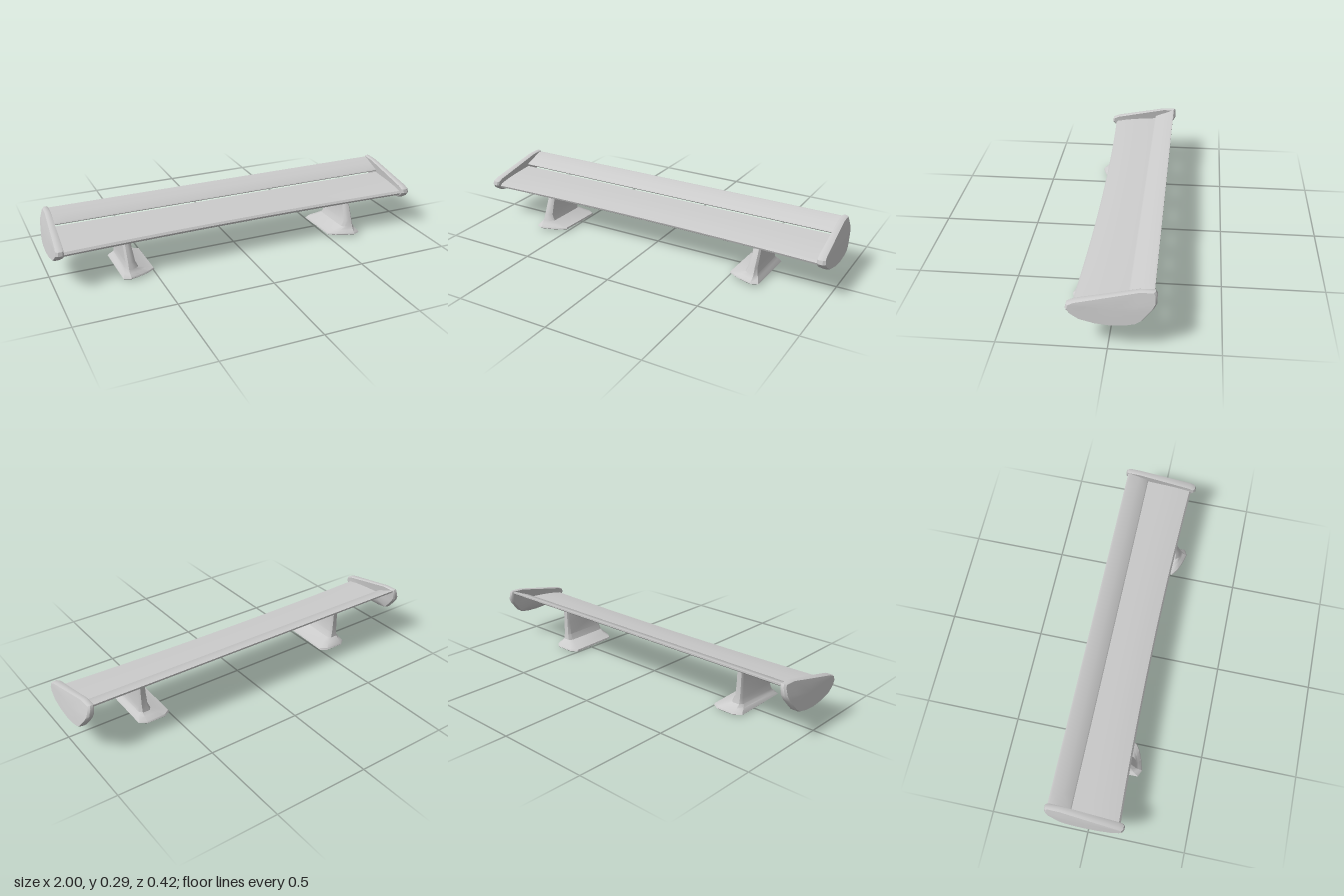
import * as THREE from 'three';
import { toCreasedNormals } from 'three/addons/utils/BufferGeometryUtils.js';

const material = new THREE.MeshStandardMaterial({ color: 0xcccccc });

// Skin a closed solid through equal-length rings of [x, y, z] points, capped at both ends
function loft(name, rings, crease = 0.6) {
  const n = rings[0].length;
  const pts = rings.flat();
  const idx = [];
  for (let r = 0; r < rings.length - 1; r++) {
    for (let i = 0; i < n; i++) {
      const j = (i + 1) % n;
      const a = r * n + i, b = r * n + j, c = a + n, d = b + n;
      idx.push(a, b, d, a, d, c);
    }
  }
  for (const r of [0, rings.length - 1]) {
    const mid = [0, 1, 2].map(k => rings[r].reduce((sum, p) => sum + p[k], 0) / n);
    const m = pts.push(mid) - 1;
    for (let i = 0; i < n; i++) {
      const a = r * n + i, b = r * n + (i + 1) % n;
      if (r === 0) idx.push(m, b, a);
      else idx.push(m, a, b);
    }
  }
  // Turn the faces outward whichever way the rings run
  const v = pts.map(p => new THREE.Vector3(...p));
  let volume = 0;
  for (let i = 0; i < idx.length; i += 3) {
    volume += v[idx[i]].dot(v[idx[i + 1]].clone().cross(v[idx[i + 2]]));
  }
  if (volume < 0) idx.reverse();

  const geo = new THREE.BufferGeometry();
  geo.setAttribute('position', new THREE.Float32BufferAttribute(pts.flat(), 3));
  geo.setIndex(idx);
  const mesh = new THREE.Mesh(toCreasedNormals(geo, crease), material);
  mesh.name = name;
  return mesh;
}

// Piecewise linear lookup in [key, value] pairs with rising keys
function lookup(table, t) {
  if (t <= table[0][0]) return table[0][1];
  for (let i = 1; i < table.length; i++) {
    const [a, va] = table[i - 1], [b, vb] = table[i];
    if (t <= b) return va + (vb - va) * (t - a) / (b - a);
  }
  return table[table.length - 1][1];
}

// Blade: a [z, y] section swept across the span, its front edge bowed back at the middle
function blade(name, section, half, bow) {
  const rings = [];
  for (let i = 0; i <= 24; i++) {
    const x = half * (i / 12 - 1);
    const back = bow * (1 - (x / half) ** 2);
    rings.push(section.map(([z, y]) => [x, y, z - back * Math.max(0, z / 0.16)]));
  }
  return loft(name, rings);
}

const mainSection = [
  [0.162, 0.187], [0.153, 0.198], [0.10, 0.208], [0.03, 0.217], [-0.04, 0.223], [-0.088, 0.227],
  [-0.088, 0.222], [-0.04, 0.203], [0.03, 0.179], [0.09, 0.167], [0.14, 0.168], [0.158, 0.177],
];
const flapSection = [
  [-0.086, 0.238], [-0.092, 0.245], [-0.14, 0.264], [-0.19, 0.286], [-0.20, 0.286],
  [-0.20, 0.277], [-0.17, 0.258], [-0.14, 0.245], [-0.10, 0.233], [-0.09, 0.233],
];

// End plate outline [z, y], leaning outward toward its lower edge
const plateOutline = [
  [0.185, 0.195], [0.18, 0.215], [0.155, 0.227], [0, 0.26], [-0.14, 0.29], [-0.205, 0.292],
  [-0.212, 0.28], [-0.213, 0.24], [-0.20, 0.215], [-0.15, 0.155], [-0.125, 0.14], [-0.08, 0.13],
  [-0.015, 0.126], [0.06, 0.133], [0.13, 0.15], [0.17, 0.175],
];
const innerX = [[0.126, 0.975], [0.17, 0.947], [0.22, 0.946], [0.292, 0.936]];
const outerX = [[0.126, 1.0], [0.22, 0.985], [0.292, 0.965]];

function endPlate(side) {
  // Each layer: depth through the plate (0 inside, 1 outside) and outline scale
  const layers = [[0, 0.6], [0, 0.96], [0.2, 1], [0.72, 1], [1, 0.955], [1, 0.6]];
  const rings = layers.map(([t, s]) => plateOutline.map(([pz, py]) => {
    const z = -0.02 + (pz + 0.02) * s;
    const y = 0.205 + (py - 0.205) * s;
    const x = lookup(innerX, y) * (1 - t) + lookup(outerX, y) * t;
    return [side * x, y, z];
  }));
  return loft(side > 0 ? 'leftEndPlate' : 'rightEndPlate', rings);
}

// Stand levels: inner x, outer x, front z, rear z, front y, rear y, skew of the inner front corner
const standLevels = [
  [0.505, 0.668, 0.212, -0.126, 0.010, 0.000, 0.045],
  [0.500, 0.672, 0.216, -0.130, 0.014, 0.004, 0.045],
  [0.503, 0.668, 0.212, -0.126, 0.021, 0.012, 0.043],
  [0.545, 0.659, 0.192, -0.104, 0.032, 0.028, 0.025],
  [0.583, 0.650, 0.177, -0.088, 0.048, 0.043, 0.008],
  [0.597, 0.646, 0.163, -0.082, 0.080, 0.075, 0],
  [0.603, 0.645, 0.132, -0.080, 0.145, 0.145, 0],
  [0.605, 0.645, 0.115, -0.080, 0.182, 0.213, 0],
];

function stand(side) {
  const rings = standLevels.map(([xi, xo, zf, zb, yf, yb, skew]) => {
    const w = xo - xi, c = w * 0.2, d = Math.min(0.025, w * 0.3);
    const corners = [
      [xi, zf - d], [xi + c, zf - d * 0.3], [xi + w / 2, zf], [xo - c, zf], [xo, zf - d],
      [xo, zb + d], [xo - c, zb], [xi + c, zb], [xi, zb + d],
    ];
    return corners.map(([x, z]) => {
      const front = (z - zb) / (zf - zb);
      const zz = z - skew * front * (xo - x) / w;
      return [side * x, yb + (yf - yb) * front, zz];
    });
  });
  return loft(side > 0 ? 'leftStand' : 'rightStand', rings);
}

export function createModel() {
  const model = new THREE.Group();
  model.name = 'rearWing';
  model.add(blade('mainBlade', mainSection, 0.958, 0.022));
  model.add(blade('upperFlap', flapSection, 0.95, 0));
  for (const side of [1, -1]) model.add(endPlate(side), stand(side));
  return model;
}
